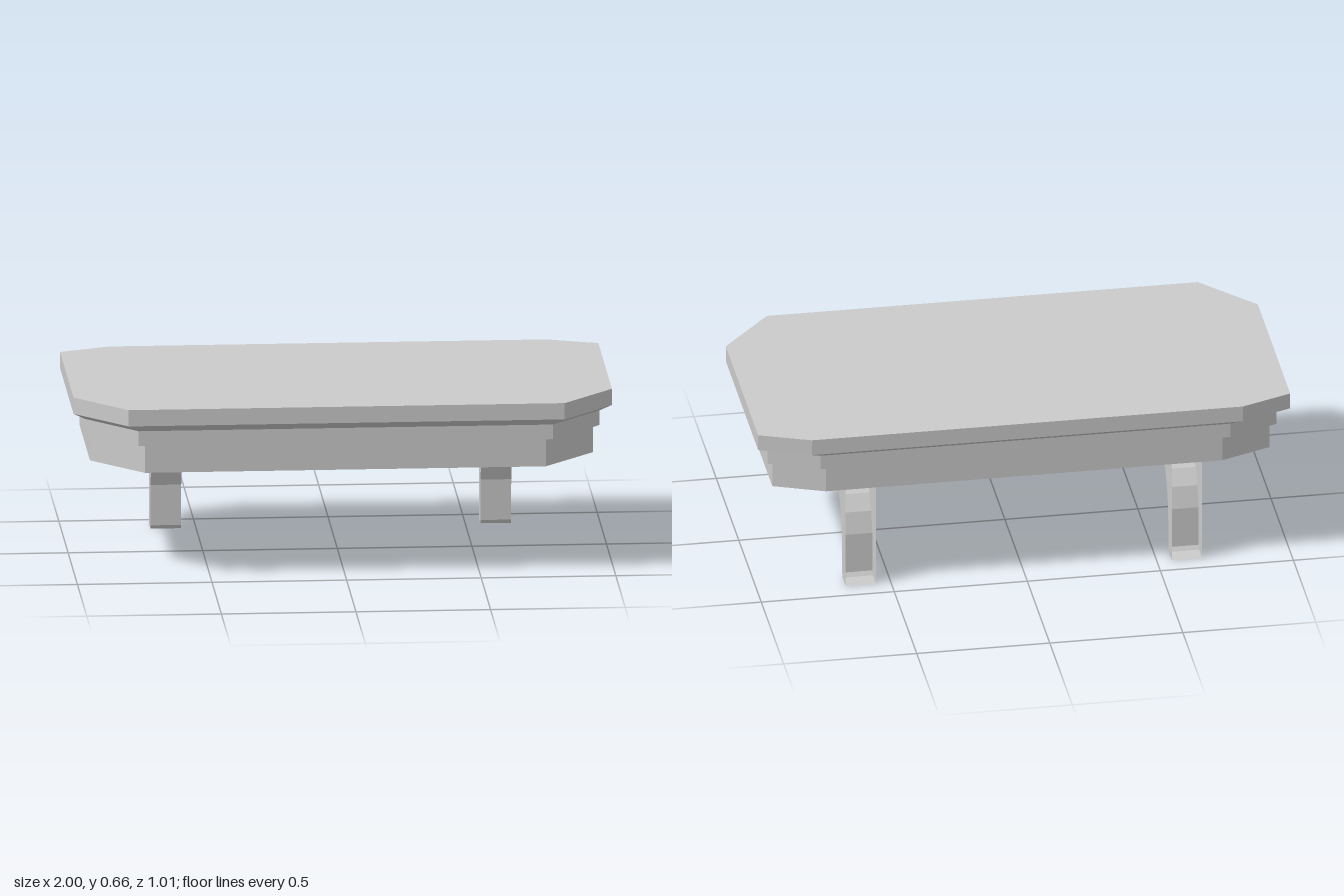
import * as THREE from 'three';

const material = new THREE.MeshStandardMaterial({ color: 0xcccccc, flatShading: true });
const shellMaterial = new THREE.MeshStandardMaterial({ color: 0xcccccc, flatShading: true, side: THREE.DoubleSide });

function makeMesh(name, positions, mat) {
  const geometry = new THREE.BufferGeometry();
  geometry.setAttribute('position', new THREE.Float32BufferAttribute(positions, 3));
  geometry.computeVertexNormals();
  const mesh = new THREE.Mesh(geometry, mat);
  mesh.name = name;
  return mesh;
}

// Clipped-corner outline: front corners are cut deeper than back ones
function ring({ y, x, cx, z, front, back }) {
  const half = [[cx, -z], [x, back], [x, front], [cx, z]];
  const mirrored = half.map(([px, pz]) => [-px, pz]).reverse();
  return [...half, ...mirrored].map(([px, pz]) => [px, y, pz]);
}

// Closed solid through outlines listed from top to bottom
function loft(name, levels) {
  const rings = levels.map(ring);
  const out = [];
  const tri = (a, b, c) => out.push(...a, ...b, ...c);
  for (let r = 0; r < rings.length - 1; r++) {
    const top = rings[r], bottom = rings[r + 1];
    for (let i = 0; i < top.length; i++) {
      const j = (i + 1) % top.length;
      tri(bottom[i], top[i], bottom[j]);
      tri(bottom[j], top[i], top[j]);
    }
  }
  const first = rings[0], last = rings[rings.length - 1];
  for (let i = 1; i < first.length - 1; i++) {
    tri(first[0], first[i + 1], first[i]);
    tri(last[0], last[i], last[i + 1]);
  }
  return makeMesh(name, out, material);
}

// Bracket side profile as (z, y), from the top front down to the foot
const profile = [
  [-0.172, 0.405], [-0.181, 0.365], [-0.215, 0.327], [-0.247, 0.326], [-0.278, 0.305],
  [-0.318, 0.25], [-0.343, 0.17], [-0.347, 0.015], [-0.358, 0], [-0.425, 0],
];

// Thin bracket shell, open at the back and top
function bracket(name, x) {
  const group = new THREE.Group();
  group.name = name;
  const w = 0.057;

  const strip = [];
  for (let i = 0; i < profile.length - 1; i++) {
    const [z0, y0] = profile[i], [z1, y1] = profile[i + 1];
    strip.push(-w, y0, z0, -w, y1, z1, w, y0, z0);
    strip.push(w, y0, z0, -w, y1, z1, w, y1, z1);
  }
  group.add(makeMesh('bracketFront', strip, shellMaterial));

  // Side plates: shape x runs along -z once turned
  const outline = [...profile, [-0.425, 0.405]].map(([z, y]) => new THREE.Vector2(-z, y));
  const plate = new THREE.ShapeGeometry(new THREE.Shape(outline));
  plate.rotateY(Math.PI / 2);
  for (const side of [-1, 1]) {
    const mesh = new THREE.Mesh(plate, shellMaterial);
    mesh.name = side > 0 ? 'bracketLeftSide' : 'bracketRightSide';
    mesh.position.x = side * w;
    group.add(mesh);
  }
  group.position.x = x;
  return group;
}

export function createModel() {
  const model = new THREE.Group();
  model.name = 'wallShelf';

  // Top board with its moulding
  model.add(loft('topBoard', [
    { y: 0.662, x: 1, cx: 0.81, z: 0.503, front: 0.29, back: -0.43 },
    { y: 0.6, x: 1, cx: 0.81, z: 0.503, front: 0.29, back: -0.43 },
    { y: 0.57, x: 0.956, cx: 0.77, z: 0.457, front: 0.247, back: -0.382 },
    { y: 0.514, x: 0.956, cx: 0.77, z: 0.457, front: 0.247, back: -0.382 },
  ]));

  // Lower apron
  model.add(loft('apron', [
    { y: 0.514, x: 0.934, cx: 0.745, z: 0.428, front: 0.218, back: -0.354 },
    { y: 0.404, x: 0.934, cx: 0.745, z: 0.428, front: 0.218, back: -0.354 },
  ]));

  model.add(bracket('leftBracket', 0.613), bracket('rightBracket', -0.613));
  return model;
}
